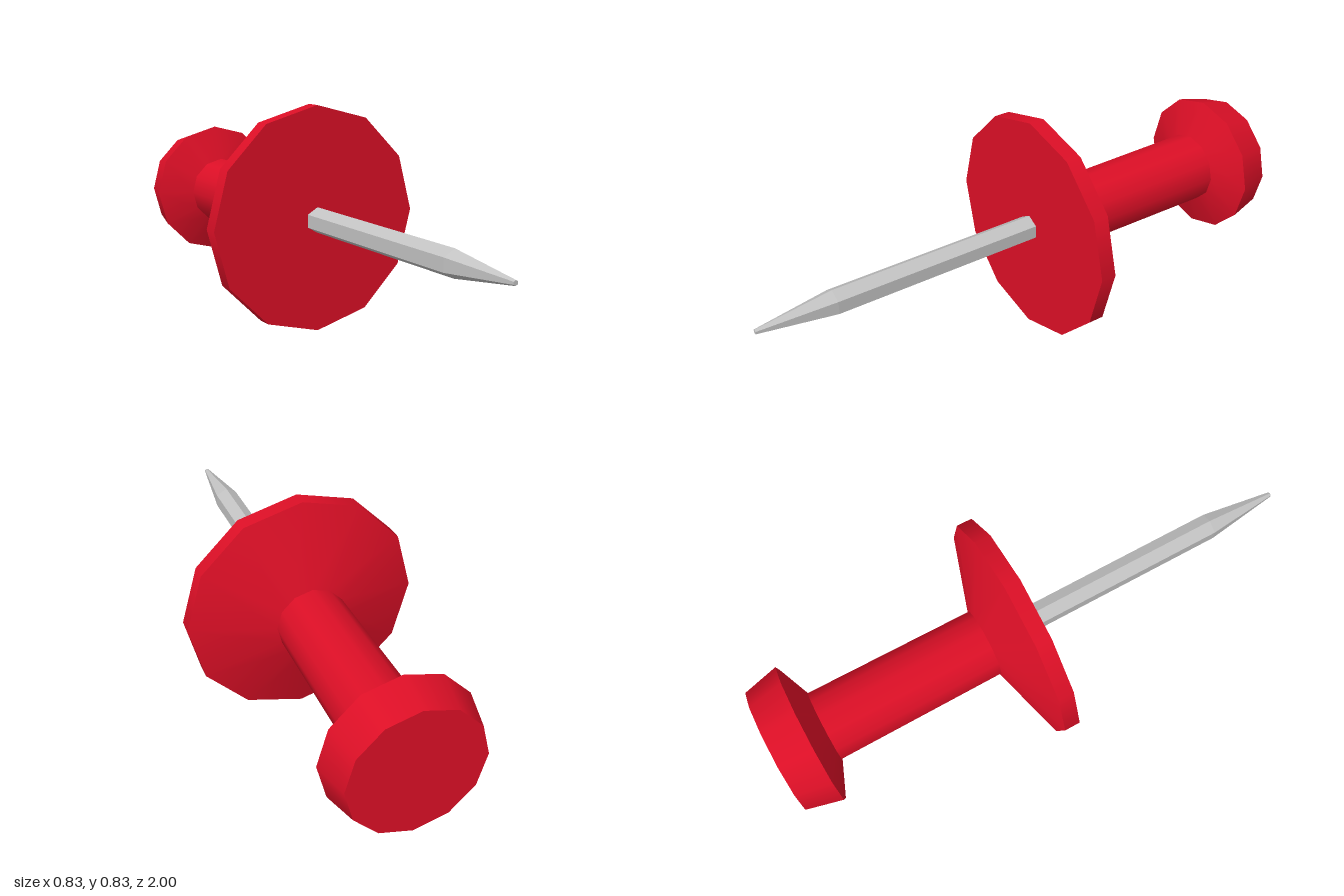
import * as THREE from 'three';
import { mergeGeometries } from 'three/addons/utils/BufferGeometryUtils.js';

const AXIS_Y = 0.413;

// Stack of cylinder bands along z from [z, radius] pairs, listed front to back.
// Each band keeps its own normals, so the edges between bands stay sharp.
function turned(profile, sides) {
  const bands = [];
  for (let i = 0; i < profile.length - 1; i++) {
    const [z0, r0] = profile[i];
    const [z1, r1] = profile[i + 1];
    const band = new THREE.CylinderGeometry(r0, r1, z0 - z1, sides, 1, true);
    band.rotateX(Math.PI / 2);
    band.translate(0, 0, (z0 + z1) / 2);
    bands.push(band);
  }
  // flat end caps
  const [zf, rf] = profile[0];
  const [zb, rb] = profile[profile.length - 1];
  const front = new THREE.CircleGeometry(rf, sides, Math.PI / 2);
  front.translate(0, 0, zf);
  const back = new THREE.CircleGeometry(rb, sides, Math.PI / 2);
  back.rotateY(Math.PI);
  back.translate(0, 0, zb);
  return mergeGeometries([...bands, front, back]);
}

export function createModel() {
  const red = new THREE.MeshStandardMaterial({ color: 0xdc0f26 });
  red.name = 'red plastic';
  const steel = new THREE.MeshStandardMaterial({ color: 0xc2c2c2 });
  steel.name = 'steel';

  const model = new THREE.Group();
  model.name = 'pushPin';

  // Plastic grip: flange, slim shaft and flared knob
  const grip = new THREE.Mesh(turned([
    [-0.05, 0.413], [-0.107, 0.413], [-0.2, 0.126],
    [-0.82, 0.13], [-0.873, 0.26], [-1, 0.228],
  ], 12), red);
  grip.name = 'grip';

  // Faceted hexagonal needle with a tapered tip
  const needleGeometry = turned([[1, 0.009], [0.73, 0.047], [-0.06, 0.047]], 6).toNonIndexed();
  needleGeometry.computeVertexNormals();
  const needle = new THREE.Mesh(needleGeometry, steel);
  needle.name = 'needle';

  for (const part of [grip, needle]) {
    part.position.y = AXIS_Y;
    model.add(part);
  }
  return model;
}
